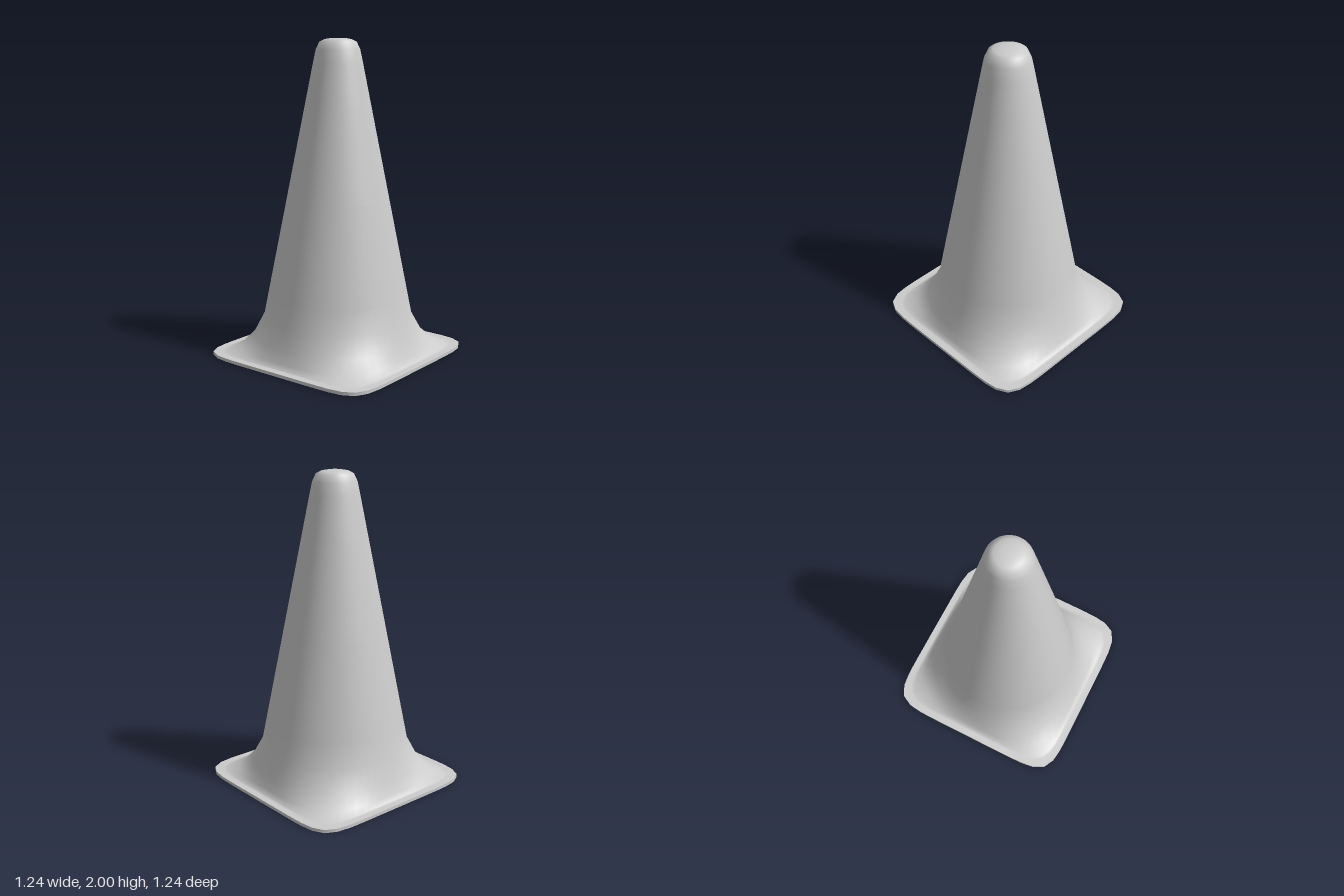
import * as THREE from 'three';

const SEGMENTS = 64;

// Rings are [half width, height, squareness]; squareness 2 is a circle, 8 a rounded square.
function loft(rings) {
  const positions = [];
  const index = [];
  rings.forEach(([a, y, n], i) => {
    for (let j = 0; j < SEGMENTS; j++) {
      const t = (j / SEGMENTS) * Math.PI * 2;
      const c = Math.cos(t);
      const s = Math.sin(t);
      const r = a / Math.pow(Math.abs(c) ** n + Math.abs(s) ** n, 1 / n);
      positions.push(r * c, y, r * s);
      if (i === rings.length - 1) continue;
      const k = (j + 1) % SEGMENTS;
      const p = i * SEGMENTS;
      const q = p + SEGMENTS;
      index.push(p + j, q + j, p + k, p + k, q + j, q + k);
    }
  });
  const geometry = new THREE.BufferGeometry();
  geometry.setAttribute('position', new THREE.Float32BufferAttribute(positions, 3));
  geometry.setIndex(index);
  geometry.computeVertexNormals();
  return geometry;
}

export function createModel() {
  const group = new THREE.Group();
  group.name = 'trafficCone';
  const material = new THREE.MeshStandardMaterial({ color: 0xcccccc });
  const add = (name, rings) => {
    const mesh = new THREE.Mesh(loft(rings), material);
    mesh.name = name;
    group.add(mesh);
  };

  // From the square flange, through the flare, to the round tip
  const body = [
    [0.62, 0.02, 8],
    [0.58, 0.02, 7.5],
    [0.565, 0.022, 7],
    [0.545, 0.05, 3.5],
    [0.517, 0.12, 2.4],
    [0.475, 0.25, 2],
    [0.445, 0.4, 2],
    [0.325, 1.0, 2],
    [0.205, 1.6, 2],
    [0.155, 1.85, 2],
    [0.138, 1.93, 2],
    [0.116, 1.977, 2],
    [0.085, 1.993, 2],
    [0.045, 2.0, 2],
    [0.001, 2.0, 2],
  ];
  add('coneOuterShell', body);

  // Thin vertical edge of the flange
  add('flangeEdge', [[0.62, 0, 8], [0.62, 0.02, 8]]);

  // Hollow inside and flange underside, facing down and in
  const inside = body.map(([a, y, n], i) => [
    i === 0 ? a : Math.max(a - 0.015, 0.001),
    Math.max(y - 0.02, 0),
    n,
  ]);
  add('coneInnerShell', inside.reverse());

  return group;
}
